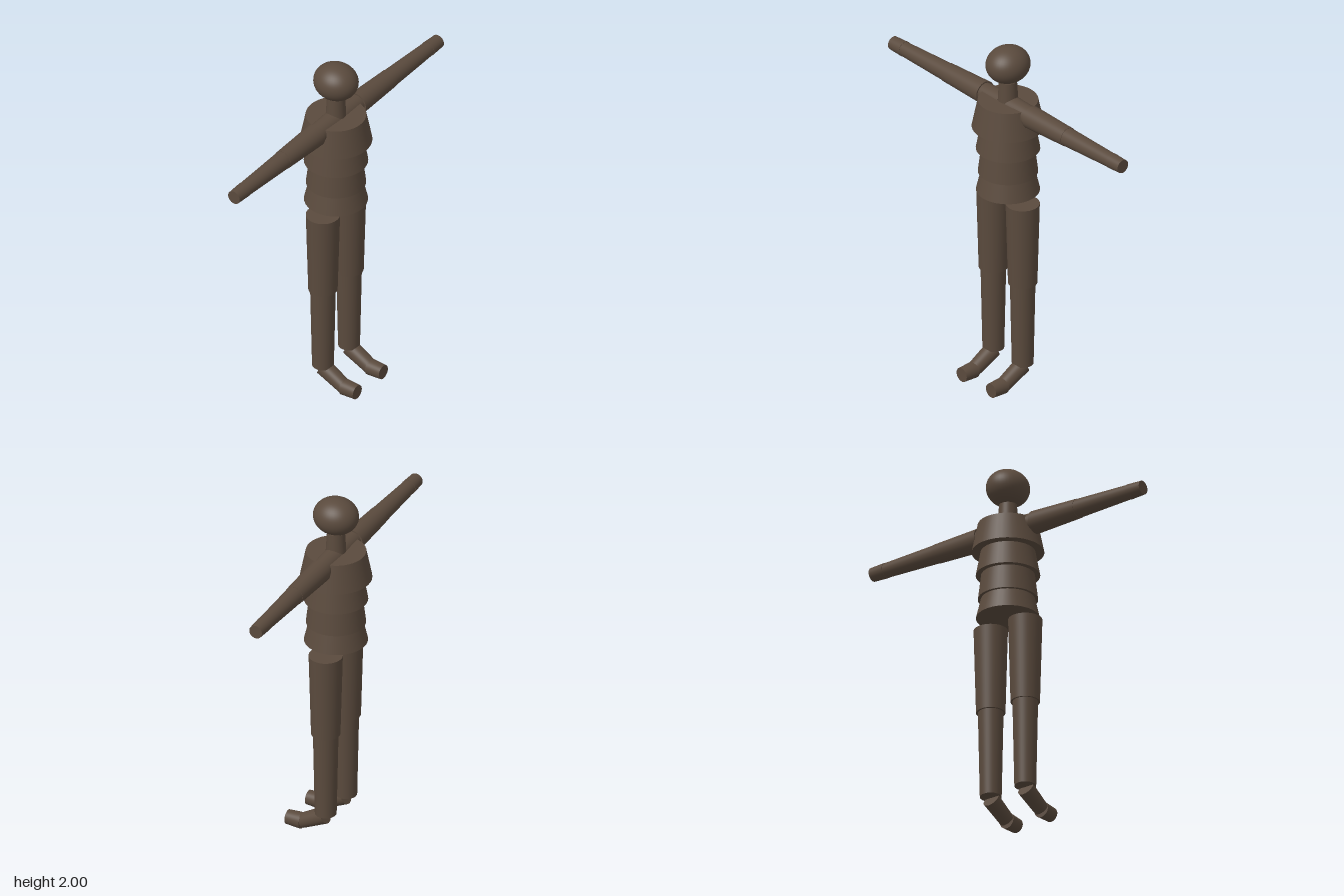
import * as THREE from 'three';

export function createModel() {
  const model = new THREE.Group();
  model.name = 'jointedFigure';
  const brown = new THREE.MeshStandardMaterial({ color: 0x5a4a3d });
  brown.name = 'darkBrown';
  const Z = -0.017; // body axis
  const up = new THREE.Vector3(0, 1, 0);

  // Closed tapered cylinder running between two points
  function segment(name, from, to, r0, r1, parent = model) {
    const a = new THREE.Vector3(...from);
    const b = new THREE.Vector3(...to);
    const dir = b.clone().sub(a);
    const mesh = new THREE.Mesh(new THREE.CylinderGeometry(r1, r0, dir.length(), 40), brown);
    mesh.name = name;
    mesh.position.copy(a).add(b).multiplyScalar(0.5);
    mesh.quaternion.setFromUnitVectors(up, dir.normalize());
    parent.add(mesh);
  }

  // Head and neck
  const head = new THREE.Mesh(new THREE.SphereGeometry(1, 40, 28), brown);
  head.name = 'head';
  head.scale.set(0.113, 0.102, 0.125);
  head.position.set(0, 1.898, Z);
  model.add(head);
  segment('neck', [0, 1.66, Z], [0, 1.8, Z], 0.056, 0.048);

  // Stacked torso rings: bottom y, top y, bottom radius, top radius
  [
    ['hips', 1.14, 1.25, 0.17, 0.144],
    ['waist', 1.25, 1.39, 0.16, 0.143],
    ['ribs', 1.39, 1.525, 0.171, 0.146],
    ['chest', 1.525, 1.684, 0.193, 0.161],
  ].forEach(([name, y0, y1, r0, r1]) => segment(name, [0, y0, Z], [0, y1, Z], r0, r1));

  for (const [side, s] of [['left', 1], ['right', -1]]) {
    // Arm, outstretched
    const arm = new THREE.Group();
    arm.name = side + 'Arm';
    [
      ['Shoulder', 0.03, 0.18, 0.061, 0.055],
      ['UpperArm', 0.18, 0.47, 0.063, 0.053],
      ['Forearm', 0.47, 0.81, 0.051, 0.04],
      ['Hand', 0.81, 0.9, 0.042, 0.038],
    ].forEach(([name, x0, x1, r0, r1]) =>
      segment(side + name, [s * x0, 1.65, Z], [s * x1, 1.65, Z], r0, r1, arm));

    // Leg, with a sloping foot and a level toe
    const leg = new THREE.Group();
    leg.name = side + 'Leg';
    const x = s * 0.115;
    segment(side + 'Thigh', [x, 1.1, Z], [x, 0.62, Z], 0.091, 0.078, leg);
    segment(side + 'Shin', [x, 0.62, Z], [x, 0.13, Z], 0.068, 0.058, leg);
    segment(side + 'Foot', [x, 0.117, -0.014], [x, 0.047, 0.122], 0.047, 0.041, leg);
    segment(side + 'Toe', [x, 0.045, 0.122], [x, 0.045, 0.21], 0.045, 0.04, leg);
    model.add(arm, leg);
  }
  return model;
}
